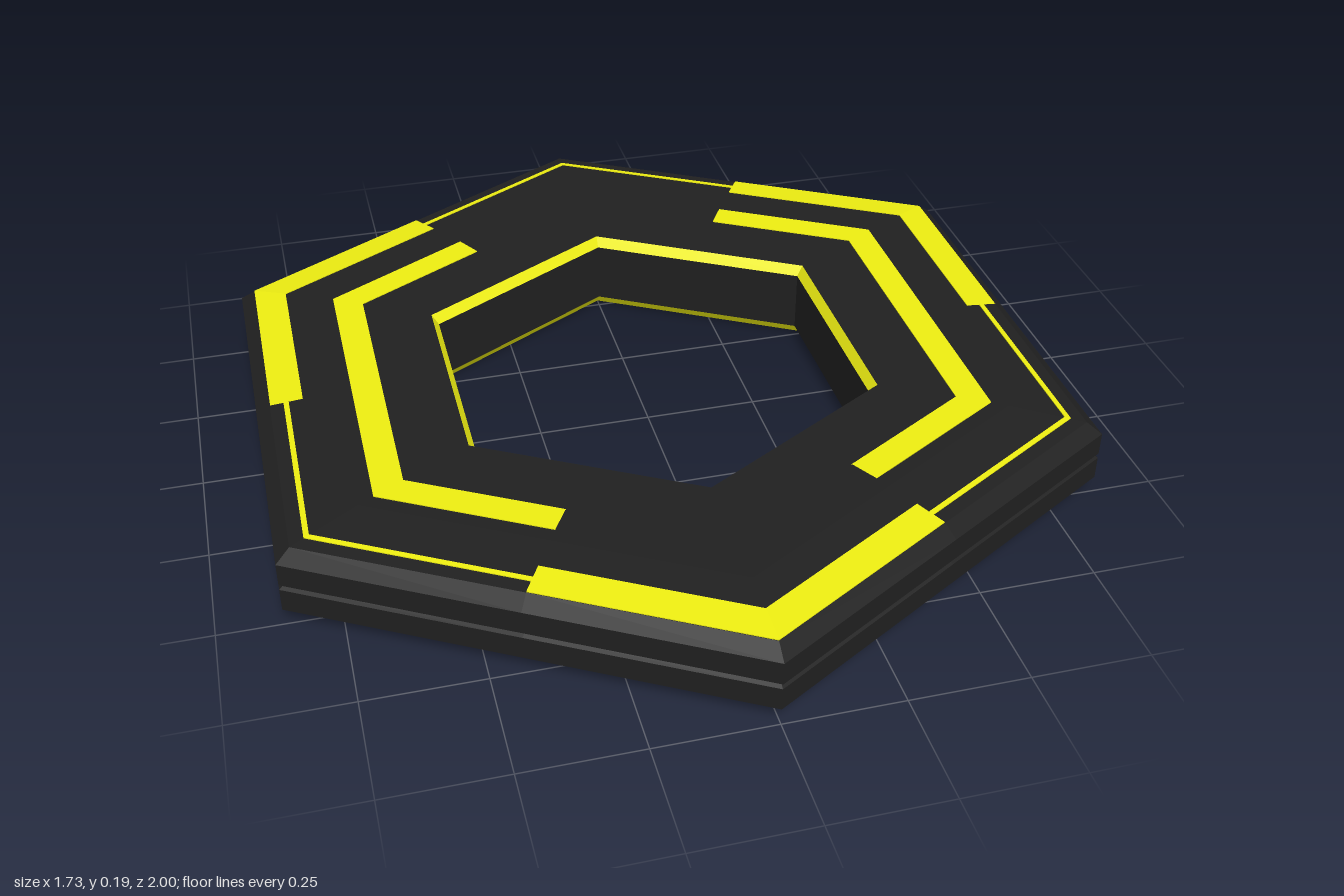
import * as THREE from 'three';

const H = 0.19;        // total height
const RAISE = 0.002;   // how far the stripes stand proud of the body
const STEP = Math.PI / 6;

const black = new THREE.MeshStandardMaterial({ color: 0x202020, side: THREE.DoubleSide });
const yellow = new THREE.MeshStandardMaterial({ color: 0xeeee11, side: THREE.DoubleSide });

// Sweep a (corner radius, y) profile around the hexagon in half-edge steps:
// even steps are corners, odd steps are edge middles.
function hexSweep(name, profile, material, start = 0, steps = 12) {
  const points = profile.map(([r, y]) => new THREE.Vector2(r, y));
  const lathe = new THREE.LatheGeometry(points, steps, start * STEP, steps * STEP);
  const pos = lathe.attributes.position;
  const n = points.length;
  for (let i = 0; i < pos.count; i++) {
    if ((start + Math.floor(i / n)) % 2 === 0) continue;
    const k = Math.cos(STEP);
    pos.setXYZ(i, pos.getX(i) * k, pos.getY(i), pos.getZ(i) * k);
  }
  const geometry = lathe.toNonIndexed();
  geometry.computeVertexNormals();
  const mesh = new THREE.Mesh(geometry, material);
  mesh.name = name;
  return mesh;
}

// Mirror a profile to the underside, keeping its faces outward
const flip = (profile) => profile.map(([r, y]) => [r, H - y]).reverse();

// Height of the upper surface: flat, then sloping gently to the rim
const topY = (r) => H - RAISE - Math.max(0, r - 0.8) * 0.07;

const stripeProfile = (inner, outer) => [
  [outer, topY(outer) - 0.004],
  [outer, topY(outer) + RAISE],
  [inner, topY(inner) + RAISE],
  [inner, topY(inner) - 0.004],
];

export function createModel() {
  const model = new THREE.Group();
  model.name = 'hexagonalRing';

  // Outer shell with bevelled rim and a fine groove around the middle
  const upper = [
    [0.99, H / 2], [1, H / 2 + 0.006], [1, 0.152],
    [0.965, topY(0.965)], [0.8, topY(0.8)], [0.517, topY(0.517)],
  ];
  model.add(hexSweep('outerShell', [...flip(upper).slice(0, -1), ...upper], black));

  // Inner wall
  model.add(hexSweep('innerWall', [[0.5, 0.166], [0.5, H - 0.166]], black));

  // Stripes and lips, repeated on both faces
  const lip = [[0.517, H - RAISE], [0.5, 0.166]];
  for (const [face, side] of [['upper', (p) => p], ['lower', flip]]) {
    const group = new THREE.Group();
    group.name = `${face}Markings`;
    group.add(hexSweep('innerLip', side(lip), yellow));
    group.add(hexSweep('thinLine', side(stripeProfile(0.918, 0.931)), yellow));
    // Wide brackets around every other corner
    for (const start of [11, 3, 7]) {
      group.add(hexSweep('outerBracket', side(stripeProfile(0.883, 0.964)), yellow, start, 2));
    }
    // Long brackets on the left and right, each wrapping two corners
    for (const start of [1, 7]) {
      group.add(hexSweep('innerBracket', side(stripeProfile(0.687, 0.762)), yellow, start, 4));
    }
    model.add(group);
  }
  return model;
}
